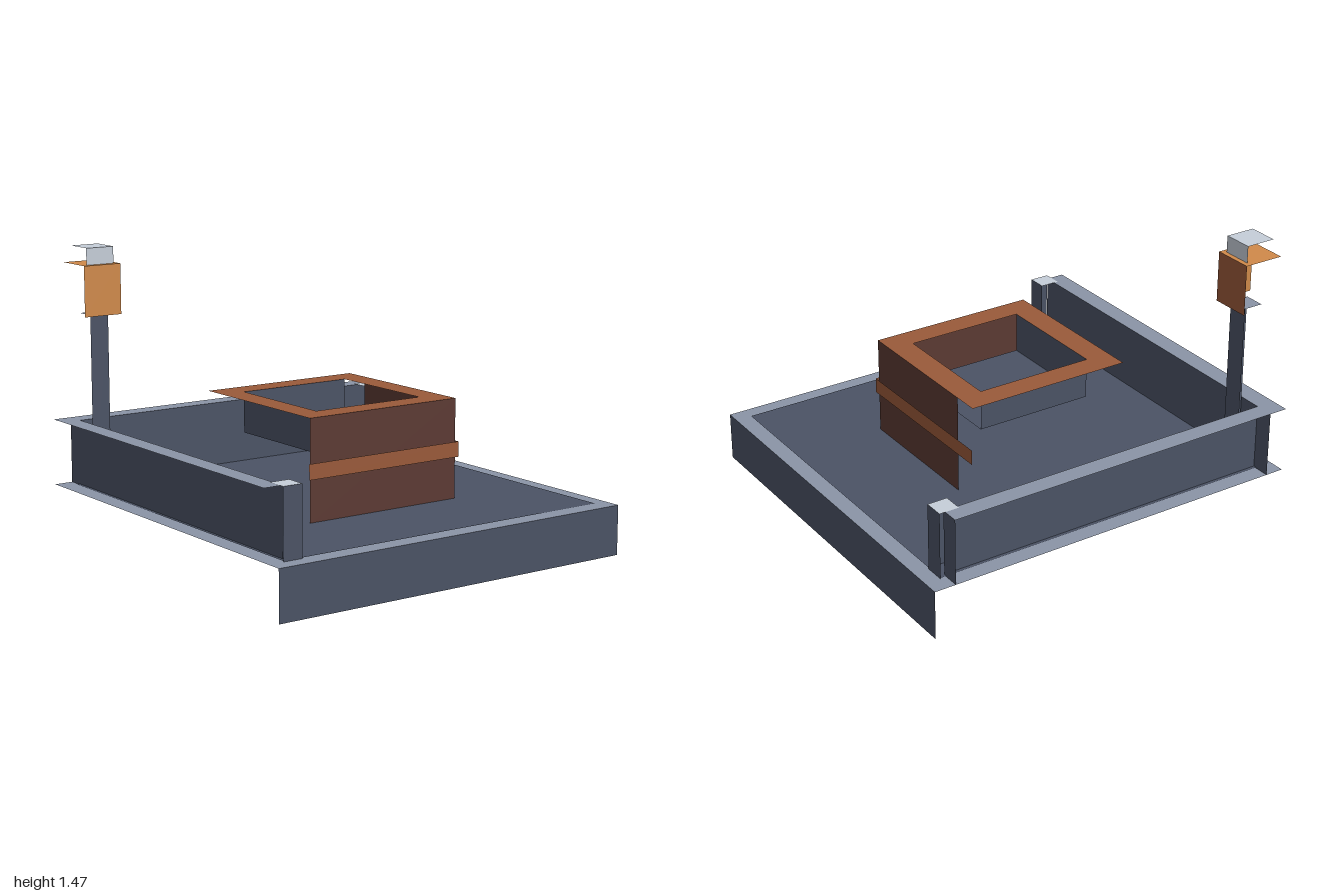
import * as THREE from 'three';

const mat = (name, color) => {
  const m = new THREE.MeshStandardMaterial({ color, side: THREE.DoubleSide });
  m.name = name;
  return m;
};

export function createModel() {
  const slate = mat('dark slate', 0x4b5365);
  const coping = mat('grey coping', 0x8b94a6);
  const pale = mat('pale stone', 0xc6ced9);
  const brick = mat('dark brick', 0x5c3a33);
  const rust = mat('rust brown', 0x9a5a3a);
  const amber = mat('amber', 0xd08a4a);
  const model = new THREE.Group();
  model.name = 'courtyardWell';

  const add = (name, geometry, material, parent = model) => {
    const mesh = new THREE.Mesh(geometry, material);
    mesh.name = name;
    parent.add(mesh);
  };
  // Single sheets facing +z, +x and +y
  const front = (name, m, x0, x1, y0, y1, z, parent) =>
    add(name, new THREE.PlaneGeometry(x1 - x0, y1 - y0)
      .translate((x0 + x1) / 2, (y0 + y1) / 2, z), m, parent);
  const side = (name, m, z0, z1, y0, y1, x, parent) =>
    add(name, new THREE.PlaneGeometry(z1 - z0, y1 - y0).rotateY(Math.PI / 2)
      .translate(x, (y0 + y1) / 2, (z0 + z1) / 2), m, parent);
  const top = (name, m, x0, x1, z0, z1, y, parent) =>
    add(name, new THREE.PlaneGeometry(x1 - x0, z1 - z0).rotateX(-Math.PI / 2)
      .translate((x0 + x1) / 2, y, (z0 + z1) / 2), m, parent);
  // Flat square frame facing up
  const frame = (name, m, outer, inner, y) => {
    const square = (P, r) => new P([[-r, -r], [r, -r], [r, r], [-r, r]]
      .map(([a, b]) => new THREE.Vector2(a, b)));
    const shape = square(THREE.Shape, outer);
    shape.holes.push(square(THREE.Path, inner));
    add(name, new THREE.ShapeGeometry(shape).rotateX(-Math.PI / 2).translate(0, y, 0), m);
  };
  // Open block with front, side and top sheets
  const block = (name, [x0, x1], [y0, y1], [z0, z1], mFront, mSide, mTop) => {
    const g = new THREE.Group();
    g.name = name;
    model.add(g);
    front(name + 'Front', mFront, x0, x1, y0, y1, z1, g);
    side(name + 'Side', mSide, z0, z1, y0, y1, x1, g);
    top(name + 'Top', mTop, x0, x1, z0, z1, y1, g);
  };

  // Base slab with a dark floor laid on its lighter top
  block('base', [-1, 1], [0, 0.25], [-1, 1], slate, slate, coping);
  top('floor', slate, -0.92, 0.92, -0.92, 0.92, 0.254);

  // Two low walls with coping; the back wall has a closed end
  front('backWall', slate, -0.903, 0.89, 0.25, 0.585, -0.903);
  side('backWallEnd', slate, -1, -0.903, 0.25, 0.585, 0.89);
  side('sideWall', slate, -1, 0.89, 0.25, 0.585, -0.903);
  top('backCoping', coping, -1, 0.89, -1, -0.903, 0.585);
  top('sideCoping', coping, -1, -0.903, -0.903, 0.89, 0.585);

  // Corner posts at the wall ends
  block('sidePost', [-0.922, -0.82], [0.25, 0.588], [0.82, 0.922], slate, slate, pale);
  block('backPost', [0.82, 0.922], [0.25, 0.588], [-0.922, -0.82], slate, slate, pale);

  // Lantern tower
  block('towerPost', [-0.895, -0.795], [0.25, 1.13], [-0.895, -0.79], slate, slate, coping);
  block('lantern', [-0.95, -0.745], [1.13, 1.383], [-0.95, -0.745], amber, rust, amber);
  block('lanternCap', [-0.922, -0.77], [1.383, 1.467], [-0.922, -0.77], pale, pale, pale);

  // Well: outer walls, rim, band and shallow basin
  front('wellFront', brick, -0.435, 0.435, 0.25, 0.755, 0.435);
  side('wellSide', brick, -0.305, 0.435, 0.25, 0.755, 0.435);
  frame('wellRim', rust, 0.435, 0.308, 0.755);
  front('bandFront', rust, -0.447, 0.447, 0.463, 0.54, 0.447);
  side('bandSide', rust, -0.447, 0.447, 0.463, 0.54, 0.447);
  front('basinBack', slate, -0.308, 0.308, 0.55, 0.755, -0.308);
  side('basinSide', slate, -0.308, 0.308, 0.55, 0.755, -0.308);
  top('basinFloor', slate, -0.308, 0.308, -0.308, 0.308, 0.55);

  return model;
}
